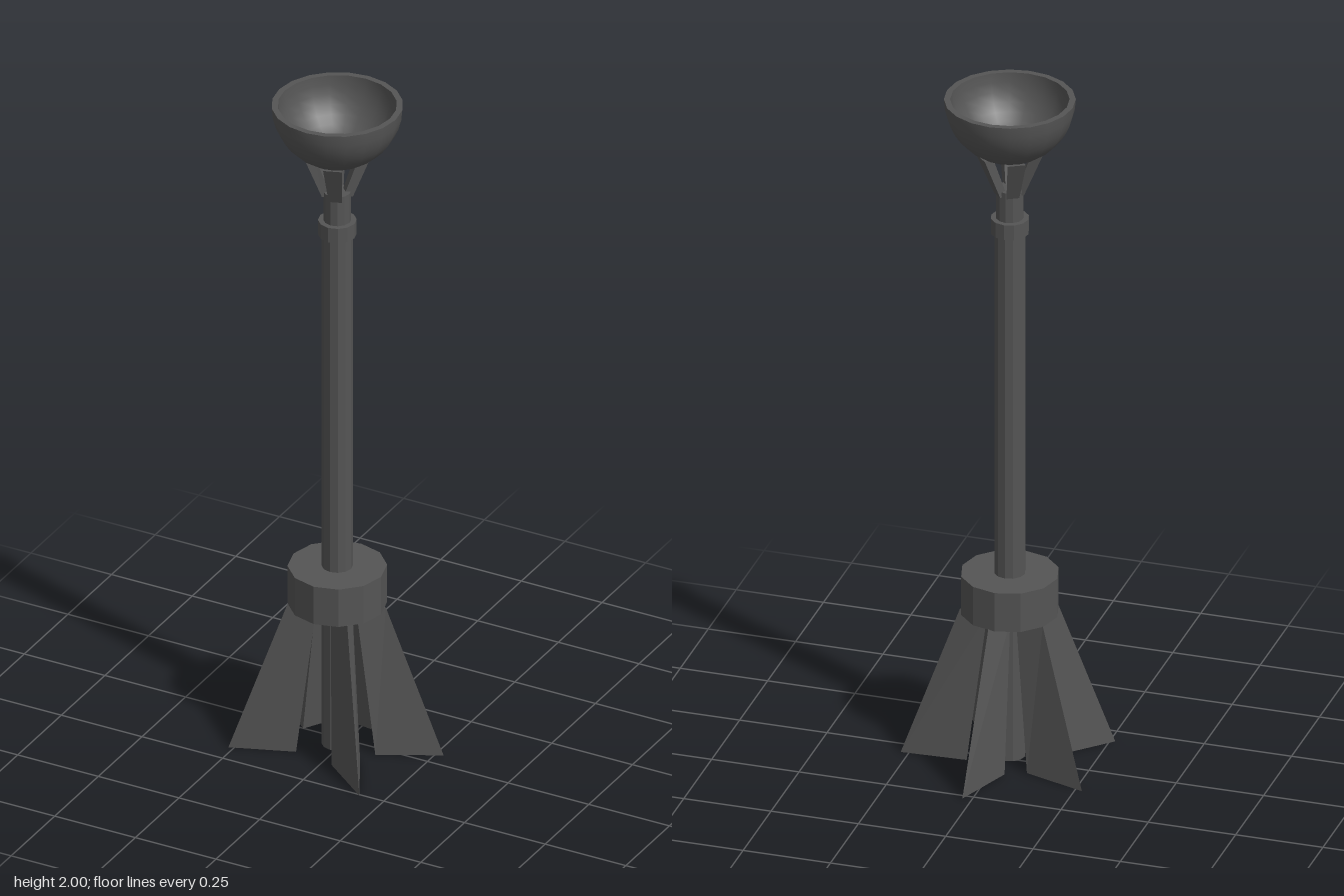
import * as THREE from 'three';
import { toCreasedNormals } from 'three/addons/utils/BufferGeometryUtils.js';

const flat = new THREE.MeshStandardMaterial({ color: 0x555555, flatShading: true });
const smooth = new THREE.MeshStandardMaterial({ color: 0x555555 });

// Solid between two matching convex outlines of [x, z] points, at heights y0 and y1
function loft(bottom, y0, top, y1) {
  const a = bottom.map(([x, z]) => [x, y0, z]);
  const b = top.map(([x, z]) => [x, y1, z]);
  const pos = [];
  const tri = (...pts) => pts.forEach((p) => pos.push(...p));
  const n = a.length;
  for (let i = 0; i < n; i++) {
    const j = (i + 1) % n;
    tri(a[i], b[i], a[j]);
    tri(a[j], b[i], b[j]);
    if (i > 0 && i < n - 1) {
      tri(a[0], a[i], a[j]);
      tri(b[0], b[j], b[i]);
    }
  }
  const g = new THREE.BufferGeometry();
  g.setAttribute('position', new THREE.Float32BufferAttribute(pos, 3));
  g.computeVertexNormals();
  return g;
}

// Wedge outline pointing outward along +x
const wedge = (inner, tip, half) => [[tip, 0], [inner, half], [inner, -half]];
// Four-sided bar outline, broad on the outside
const bar = (inner, outer, half) =>
  [[outer, -half], [outer, half], [inner, half * 0.6], [inner, -half * 0.6]];

export function createModel() {
  const model = new THREE.Group();
  const body = new THREE.Group();
  body.name = 'torchStand';
  body.position.set(-0.015, 0, 0.027);
  model.add(body);

  const add = (name, geometry, material = flat) => {
    const mesh = new THREE.Mesh(geometry, material);
    mesh.name = name;
    body.add(mesh);
    return mesh;
  };
  const drum = (name, radius, y0, y1) => {
    const mesh = add(name, new THREE.CylinderGeometry(radius, radius, y1 - y0, 12));
    mesh.position.y = (y0 + y1) / 2;
  };

  // Pole with its collars
  drum('pole', 0.043, 0, 1.6);
  drum('poleRing', 0.053, 1.595, 1.64);
  drum('poleNeck', 0.038, 1.64, 1.73);
  drum('baseCollar', 0.136, 0.44, 0.557);

  // Splayed wedge feet, unevenly spaced
  const foot = loft(wedge(0.116, 0.298, 0.04), 0, wedge(0.06, 0.136, 0.03), 0.442);
  [-82, -15, 50, 147, 211].forEach((deg, i) => {
    add('foot' + (i + 1), foot).rotation.y = -THREE.MathUtils.degToRad(deg);
  });

  // Prongs that carry the bowl
  const prong = loft(bar(0.015, 0.039, 0.018), 1.715, bar(0.06, 0.09, 0.026), 1.84);
  [-45, 70, 165, 240].forEach((deg, i) => {
    add('prong' + (i + 1), prong).rotation.y = -THREE.MathUtils.degToRad(deg);
  });

  // Hollow bowl: outer hemisphere, flat rim, inner hemisphere with a small flat floor
  const profile = [];
  const arc = (radius, from, to) => {
    for (let i = 0; i <= 8; i++) {
      const t = from + ((to - from) * i) / 8;
      profile.push(new THREE.Vector2(radius * Math.sin(t), 2 - radius * Math.cos(t)));
    }
  };
  const floor = Math.asin(0.034 / 0.163);
  profile.push(new THREE.Vector2(0, 2 - 0.18 * Math.cos(0.19)));
  arc(0.18, 0.19, Math.PI / 2);
  arc(0.163, Math.PI / 2, floor);
  profile.push(new THREE.Vector2(0, 2 - 0.163 * Math.cos(floor)));
  add('bowl', toCreasedNormals(new THREE.LatheGeometry(profile, 20), 0.6), smooth);

  return model;
}
